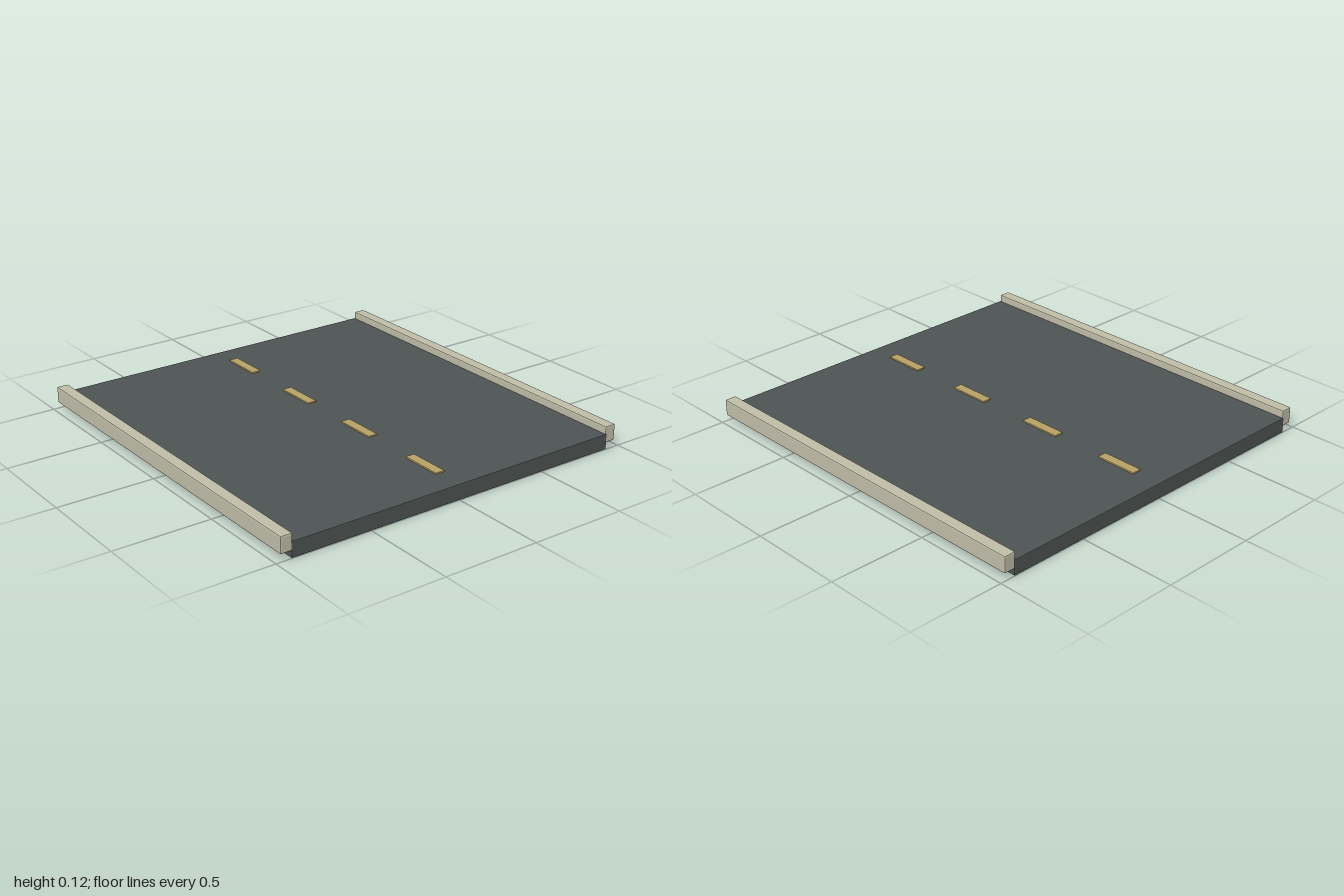
import * as THREE from 'three';
import { RoundedBoxGeometry } from 'three/addons/geometries/RoundedBoxGeometry.js';

const paint = (color) => new THREE.MeshStandardMaterial({ color, flatShading: true });

export function createModel() {
  const model = new THREE.Group();
  model.name = 'roadSection';
  const asphalt = paint(0x4d5453);
  const concrete = paint(0xc0bda8);
  const yellow = paint(0xb8a265);

  // Box with a narrow chamfer along its edges, placed by its centre
  const addBlock = (name, size, position, bevel, material) => {
    const mesh = new THREE.Mesh(new RoundedBoxGeometry(...size, 1, bevel), material);
    mesh.name = name;
    mesh.position.set(...position);
    model.add(mesh);
  };

  // Road slab
  addBlock('roadSlab', [1.84, 0.08, 2], [0, 0.04, 0], 0.004, asphalt);

  // Raised curbs overhanging both sides
  for (const [name, side] of [['leftCurb', 1], ['rightCurb', -1]]) {
    addBlock(name, [0.062, 0.086, 1.995], [side * 0.944, 0.076, 0], 0.007, concrete);
  }

  // Dashed centre line
  for (let i = 0; i < 4; i++) {
    addBlock(`laneDash${i + 1}`, [0.05, 0.012, 0.22], [0, 0.081, -0.75 + i * 0.5], 0.002, yellow);
  }
  return model;
}
